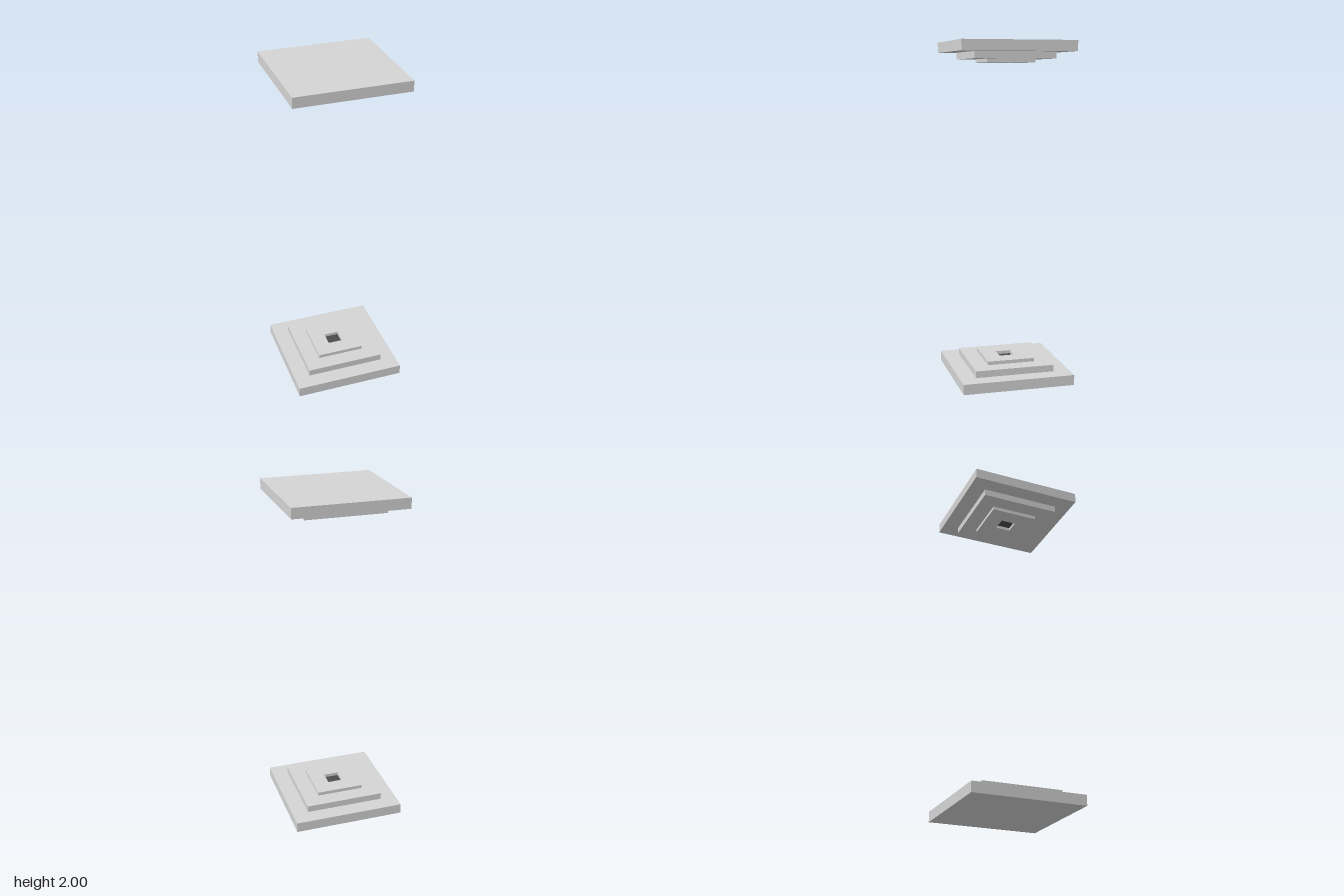
import * as THREE from 'three';

const stone = new THREE.MeshStandardMaterial({ color: 0xd5d5d5 });
stone.name = 'light grey stone';
const dark = new THREE.MeshStandardMaterial({ color: 0x4c4c4c });
dark.name = 'dark socket';

const SOCKET = 0.045; // half width of the square socket

function square(PathType, h) {
  return new PathType().moveTo(-h, -h).lineTo(h, -h).lineTo(h, h).lineTo(-h, h).closePath();
}

// Stepped square plate with a socket in its top step, resting on y = 0
function steppedPlate(name) {
  const plate = new THREE.Group();
  plate.name = name;
  const add = (part, geometry, material, y) => {
    const mesh = new THREE.Mesh(geometry, material);
    mesh.name = part;
    mesh.position.y = y;
    plate.add(mesh);
  };

  add('baseSlab', new THREE.BoxGeometry(0.666, 0.061, 0.666), stone, 0.0305);
  add('middleStep', new THREE.BoxGeometry(0.474, 0.04, 0.474), stone, 0.081);

  // Top step, pierced by the socket
  const outline = square(THREE.Shape, 0.142);
  outline.holes.push(square(THREE.Path, SOCKET));
  const step = new THREE.ExtrudeGeometry(outline, { depth: 0.021, bevelEnabled: false });
  step.rotateX(-Math.PI / 2);
  add('topStep', step, stone, 0.101);

  // Dark floor of the socket
  add('socketFloor', new THREE.BoxGeometry(SOCKET * 2, 0.004, SOCKET * 2), dark, 0.101);
  return plate;
}

export function createModel() {
  const model = new THREE.Group();
  model.name = 'steppedPlates';

  const lower = steppedPlate('lowerPlate');
  // Upper plate is the same piece turned upside down
  const upper = steppedPlate('upperPlate');
  upper.rotation.x = Math.PI;
  upper.position.y = 2;

  model.add(lower, upper);
  return model;
}
